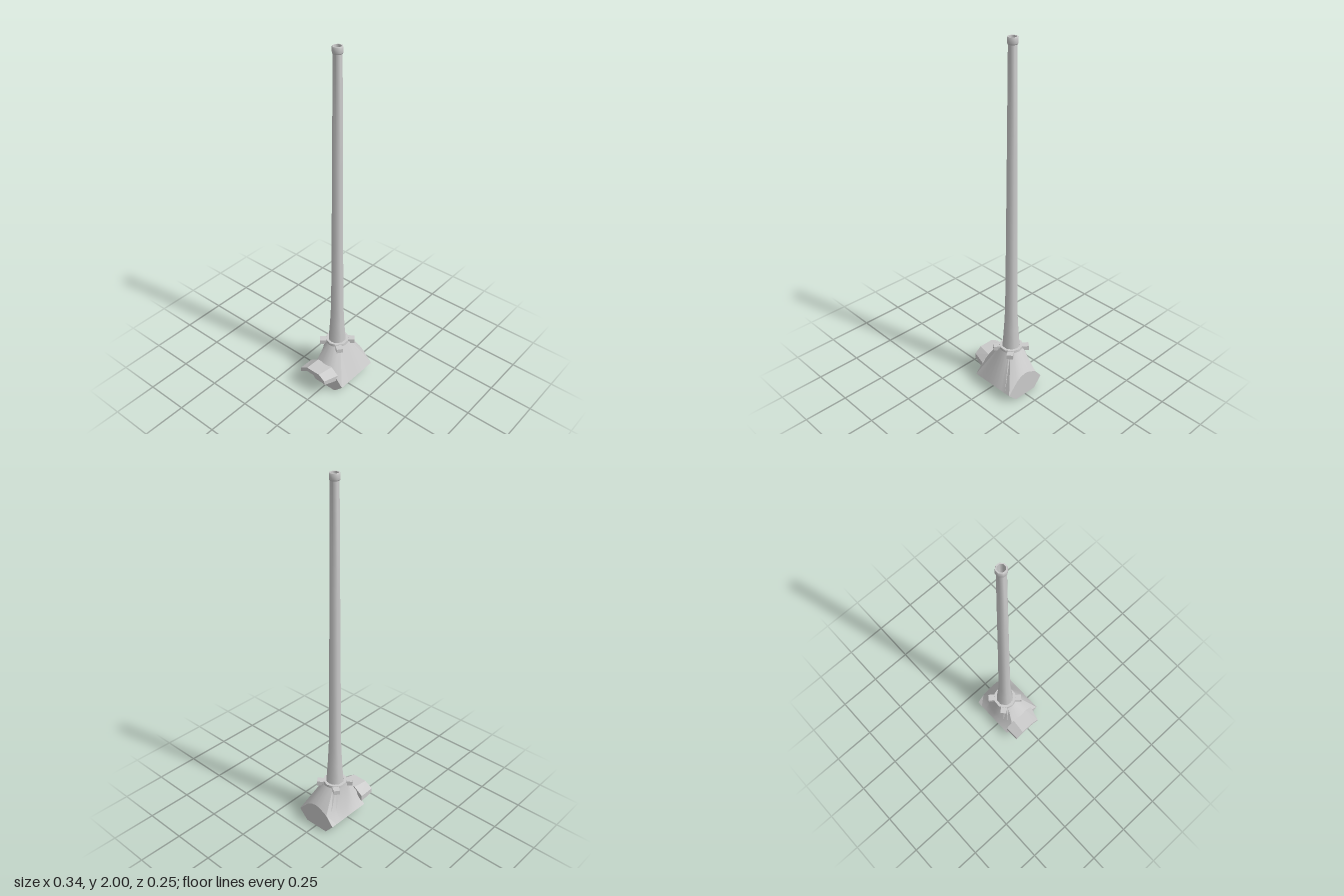
import * as THREE from 'three';
import { toCreasedNormals } from 'three/addons/utils/BufferGeometryUtils.js';

const CX = 0.037, CZ = -0.021;         // barrel axis
const X0 = -0.096, X1 = 0.172;         // ends of the mount
const material = new THREE.MeshStandardMaterial({ color: 0xcccccc });
const doubleSided = new THREE.MeshStandardMaterial({ color: 0xcccccc, side: THREE.DoubleSide });

function add(group, name, geometry, mat = material) {
  const mesh = new THREE.Mesh(geometry, mat);
  mesh.name = name;
  group.add(mesh);
  return mesh;
}

// Solid with a [z, y] outline running along x
function prism(outline, x0, x1) {
  const shape = new THREE.Shape(outline.map(([z, y]) => new THREE.Vector2(-z, y)));
  return new THREE.ExtrudeGeometry(shape, { depth: x1 - x0, bevelEnabled: false })
    .rotateY(Math.PI / 2).translate(x0, 0, 0);
}

// Skin between closed rings of points, lowest ring first
function loft(rings) {
  const n = rings[0].length, index = [];
  for (let k = 0; k < rings.length - 1; k++) {
    for (let i = 0; i < n; i++) {
      const j = (i + 1) % n, a = k * n + i, b = k * n + j;
      index.push(a, b, b + n, a, b + n, a + n);
    }
  }
  const geometry = new THREE.BufferGeometry();
  geometry.setAttribute('position', new THREE.Float32BufferAttribute(rings.flat(2), 3));
  geometry.setIndex(index);
  return toCreasedNormals(geometry, 0.5);
}

function turned(profile, sides) {
  const geometry = new THREE.LatheGeometry(profile.map(p => new THREE.Vector2(...p)), sides, Math.PI / sides);
  return toCreasedNormals(geometry, 0.9).translate(CX, 0, CZ);
}

export function createModel() {
  const group = new THREE.Group();

  // Faceted trunnion block with flat ends
  const arch = [[0.125, 0.055], [0.065, 0.12], [0.035, 0.14], [0, 0.147], [-0.03, 0.141], [-0.08, 0.115]];
  add(group, 'mountBase', prism([[-0.074, 0], [0.07, 0], ...arch, [-0.125, 0.06]], X0, X1));

  // Shroud rising from the block to the round collar
  const steps = 8, low = [], crease = [];
  const put = (p, q = p) => { low.push(p); crease.push(q); };
  for (let i = 0; i < steps; i++) put([X0 + (X1 - X0) * i / steps, 0.055, 0.125]);
  arch.forEach(([z, y]) => put([X1, y, z]));
  for (let i = 1; i < steps; i++) {
    const t = i / steps, x = X1 + (X0 - X1) * t;
    put([x, 0.06, -0.125], [x, 0.115, -0.08 - 0.025 * (1 - Math.abs(2 * t - 1))]);
  }
  [...arch].reverse().forEach(([z, y], i) => { if (i < arch.length - 1) put([X0, y, z]); });
  const neck = crease.map(([x, , z]) => {
    const a = Math.atan2(z - CZ, x - CX);
    return [CX + 0.068 * Math.cos(a), 0.25, CZ + 0.068 * Math.sin(a)];
  });
  add(group, 'shroud', loft([low, crease, neck]), doubleSided);

  // Collar ring around the foot of the barrel
  add(group, 'collar', turned([[0.068, 0.235], [0.066, 0.262], [0.05, 0.262]], 10), doubleSided);

  // Four lugs around the collar
  for (const [sx, sz] of [[1, 1], [1, -1], [-1, -1], [-1, 1]]) {
    const lug = add(group, 'collarLug', new THREE.BoxGeometry(0.036, 0.026, 0.042));
    lug.position.set(CX + sx * 0.053, 0.245, CZ + sz * 0.057);
    lug.rotation.y = Math.atan2(sx * 0.75, sz);
  }

  // Tapered barrel
  add(group, 'barrel', turned([
    [0.052, 0.24], [0.05, 0.27], [0.042, 0.38], [0.036, 0.5], [0.032, 0.9], [0.028, 1.4], [0.024, 1.965],
  ], 8));

  // Muzzle ring and bore
  add(group, 'muzzle', turned([
    [0.023, 1.963], [0.028, 1.97], [0.028, 1.994], [0.026, 2], [0.02, 2], [0.019, 1.9], [0, 1.89],
  ], 8));

  // Arched side plate, narrowing and thinning outwards
  const top = [[0.085, 0.117], [0.04, 0.155], [-0.06, 0.155], [-0.115, 0.118]];
  const under = top.map(([z, y]) => [z, y - 0.036]).reverse();
  const plate = prism([...top, ...under], -0.173, -0.085).toNonIndexed();
  const p = plate.attributes.position;
  for (let i = 0; i < p.count; i++) {
    if (p.getX(i) > -0.15) continue;
    p.setZ(i, -0.115 + (p.getZ(i) + 0.115) * 0.875);
    p.setY(i, 0.15 + (p.getY(i) - 0.155) * 0.75);
  }
  plate.computeVertexNormals();
  add(group, 'sidePlate', plate);

  return group;
}
